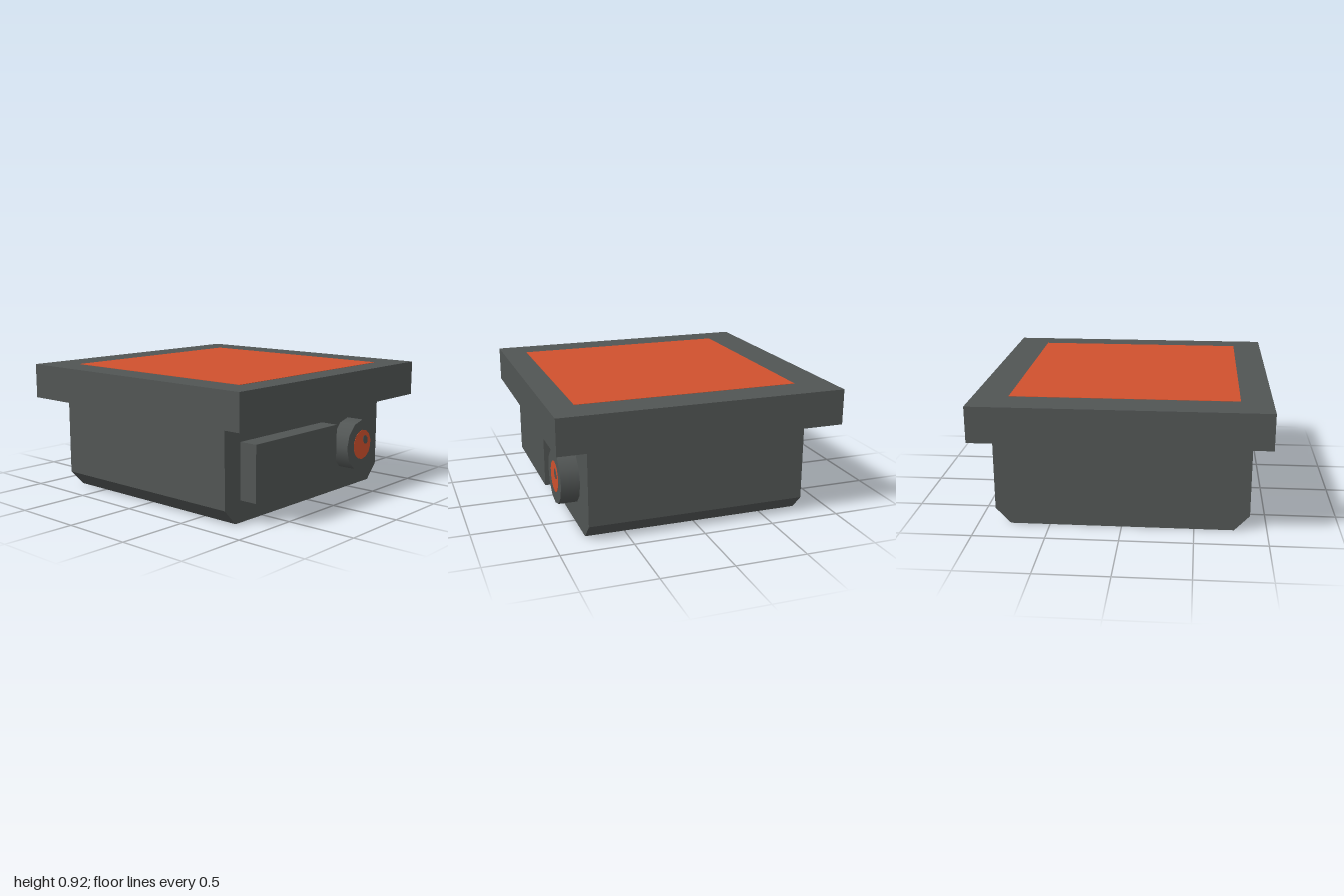
import * as THREE from 'three';

export function createModel() {
  const model = new THREE.Group();
  const charcoal = new THREE.MeshStandardMaterial({ color: 0x515554 });
  charcoal.name = 'charcoal';
  const orange = new THREE.MeshStandardMaterial({ color: 0xcf512d });
  orange.name = 'orange';

  const add = (name, geometry, material, x, y, z) => {
    const mesh = new THREE.Mesh(geometry, material);
    mesh.name = name;
    mesh.position.set(x, y, z);
    model.add(mesh);
    return mesh;
  };

  // Body: front outline with chamfered lower sides, extruded along z
  const depth = 1.55;
  const outline = new THREE.Shape([
    [-0.775, 0], [0.775, 0], [0.88, 0.11], [0.88, 0.66], [-0.88, 0.66], [-0.88, 0.11],
  ].map(([x, y]) => new THREE.Vector2(x, y)));
  add('body', new THREE.ExtrudeGeometry(outline, { depth, bevelEnabled: false }), charcoal, 0, 0, -depth / 2);

  // Overhanging lid with its inset coloured panel
  add('lid', new THREE.BoxGeometry(2, 0.249, 2), charcoal, 0, 0.7905, 0);
  add('topPanel', new THREE.BoxGeometry(1.545, 0.004, 1.57), orange, -0.015, 0.915, 0.035);

  // Raised block on the front
  add('frontBlock', new THREE.BoxGeometry(0.885, 0.387, 0.13), charcoal, -0.285, 0.3435, 0.84);

  // Round twelve-sided lens housing
  const housing = new THREE.CylinderGeometry(0.19, 0.19, 0.13, 12).rotateX(Math.PI / 2);
  add('lensHousing', housing, charcoal, 0.485, 0.338, 0.84);

  // Lens face and its small oval mark
  const lens = new THREE.CylinderGeometry(0.11, 0.11, 0.004, 14).rotateX(Math.PI / 2);
  add('lens', lens, orange, 0.488, 0.341, 0.905);
  const mark = new THREE.CylinderGeometry(1, 1, 0.004, 12).rotateX(Math.PI / 2).scale(0.026, 0.037, 1);
  add('lensMark', mark, charcoal, 0.525, 0.373, 0.908).rotation.z = 0.6;

  return model;
}
